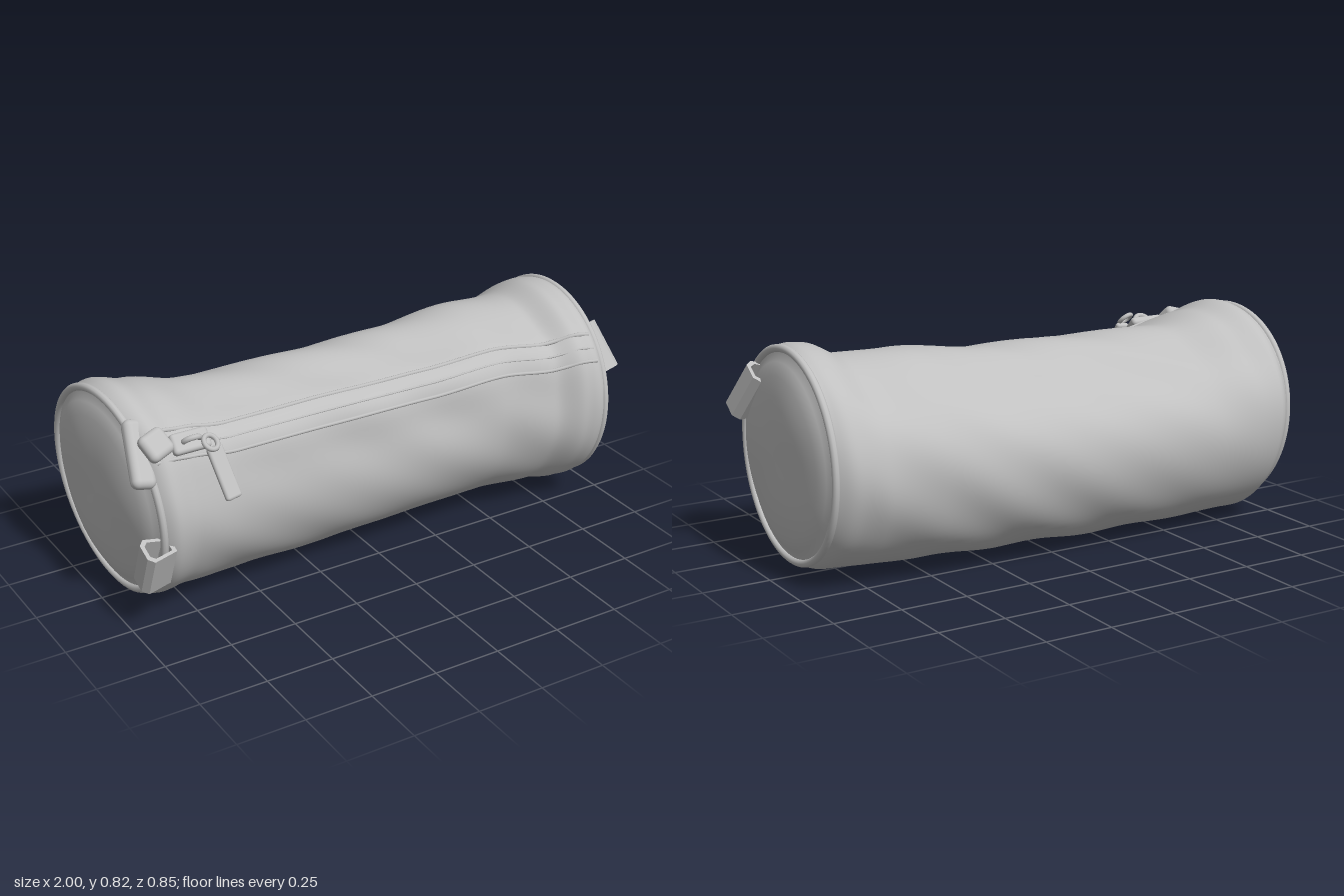
import * as THREE from 'three';
import { RoundedBoxGeometry } from 'three/addons/geometries/RoundedBoxGeometry.js';

const rad = THREE.MathUtils.degToRad;

// Body profile stations along x: top, bottom, front and back of the section
const STATIONS = [
  [-0.93, 0.805, 0.002, 0.34, -0.405],
  [-0.88, 0.808, 0.002, 0.345, -0.428],
  [-0.78, 0.782, 0.010, 0.325, -0.432],
  [-0.60, 0.742, 0.014, 0.312, -0.432],
  [-0.20, 0.742, 0.018, 0.305, -0.432],
  [0.20, 0.748, 0.030, 0.305, -0.420],
  [0.50, 0.780, 0.036, 0.318, -0.408],
  [0.71, 0.775, 0.036, 0.355, -0.392],
  [0.82, 0.818, 0.030, 0.400, -0.378],
  [0.90, 0.825, 0.025, 0.420, -0.362],
];

function section(x) {
  let i = 0;
  while (i < STATIONS.length - 2 && x > STATIONS[i + 1][0]) i++;
  const a = STATIONS[i], b = STATIONS[i + 1];
  const t = THREE.MathUtils.smoothstep(x, a[0], b[0]);
  const [top, bottom, front, back] = [1, 2, 3, 4].map((k) => a[k] + (b[k] - a[k]) * t);
  return { cy: (top + bottom) / 2, cz: (front + back) / 2, ry: (top - bottom) / 2, rz: (front - back) / 2 };
}

// Bell curve around an angle, both in degrees
function bell(a, center, width) {
  const b = a - rad(center);
  const d = Math.atan2(Math.sin(b), Math.cos(b)) / rad(width);
  return Math.exp(-d * d);
}

// The zip sinks towards the front at its left end
const zipAngle = (u) => 41.5 - 6 * u * u;

// Point on the cloth: u runs along x, a is the angle from front to top
function cloth(u, a, lift = 0) {
  const x = -0.93 + 1.83 * u;
  const s = section(x);
  const inner = Math.sqrt(Math.max(0, Math.sin(Math.PI * u)));
  // Raised zip, slack upper back, sagging underside
  const shape = 0.05 * bell(a, zipAngle(u), 15) - 0.055 * bell(a, 126, 30)
    + 0.016 * bell(a, -62, 25) + 0.018 * bell(a, -122, 25);
  const folds = 0.004 * Math.sin(5 * a + 9 * u) * Math.sin(17 * u + 2 * a) + 0.002 * Math.sin(9 * a + 31 * u);
  // Rounded hem at each mouth
  const hem = 0.022 * Math.pow(1 - Math.min(1, Math.min(u, 1 - u) / 0.03), 2);
  const r = inner * (shape + folds) - hem + lift;
  // The right mouth is tilted, its front and foot drawn inwards
  const tilt = Math.pow(1 - u, 4) * (0.035 * Math.cos(a) - 0.025 * Math.sin(a));
  return new THREE.Vector3(x + tilt, s.cy + (s.ry + r) * Math.sin(a), s.cz + (s.rz + r) * Math.cos(a));
}

// Smooth skin around the x axis, closed in the second direction
function skin(nu, nv, point) {
  const pos = [], index = [];
  for (let i = 0; i <= nu; i++) {
    for (let j = 0; j < nv; j++) {
      pos.push(...point(i / nu, (j / nv) * Math.PI * 2).toArray());
      if (i === nu) continue;
      const k = (j + 1) % nv;
      const a = i * nv + j, b = a + nv, c = i * nv + k, d = c + nv;
      index.push(a, b, c, b, d, c);
    }
  }
  const g = new THREE.BufferGeometry();
  g.setAttribute('position', new THREE.Float32BufferAttribute(pos, 3));
  g.setIndex(index);
  g.computeVertexNormals();
  return g;
}

// Slightly domed end panel, sunk just inside the piping
function endPanel(side) {
  const u = side > 0 ? 1 : 0;
  const x = side > 0 ? 0.9 : -0.93;
  const s = section(x);
  const center = new THREE.Vector3(x, s.cy, s.cz);
  return skin(16, 72, (t, a) => {
    const r = side > 0 ? 1 - t : t;
    const p = cloth(u, a).lerp(center, 1 - r);
    const dome = 0.058 * (1 - Math.pow(r, 3));
    const dent = 0.01 * Math.exp(-Math.pow((r - 0.92) / 0.04, 2));
    const crease = 0.024 * r * r * (1 - r) * Math.sin(3 * a + 1);
    p.x += side * (dome - dent + crease);
    return p;
  });
}

// Folded ribbon loop, hollow through its length
function ribbonLoop(length, reach) {
  const outline = (w, h, x0) => [[x0, -h * 0.6], [w * 0.6, -h], [w, -h * 0.6], [w, h * 0.6], [w * 0.6, h], [x0, h * 0.6]]
    .map(([x, y]) => new THREE.Vector2(x, y));
  const shape = new THREE.Shape(outline(reach, 0.052, -0.06));
  shape.holes.push(new THREE.Path(outline(reach - 0.014, 0.037, -0.045).reverse()));
  const g = new THREE.ExtrudeGeometry(shape, { depth: length, bevelEnabled: false });
  return g.translate(0, 0, -length / 2);
}

export function createModel() {
  const model = new THREE.Group();
  const fabric = new THREE.MeshStandardMaterial({ color: 0xc0c0c0 });
  fabric.name = 'greyFabric';

  function add(name, geometry, position = [0, 0, 0], rotation = [0, 0, 0], parent = model) {
    const mesh = new THREE.Mesh(geometry, fabric);
    mesh.name = name;
    mesh.position.set(...position);
    mesh.rotation.set(...rotation);
    parent.add(mesh);
  }

  // Cloth tube and its two ends
  add('body', skin(140, 96, (u, a) => cloth(u, a)));
  for (const side of [1, -1]) {
    const name = side > 0 ? 'left' : 'right';
    add(name + 'EndPanel', endPanel(side));
    const ring = [];
    for (let i = 0; i < 36; i++) ring.push(cloth(side > 0 ? 1 : 0, (i / 36) * Math.PI * 2, -0.002));
    add(name + 'Piping', new THREE.TubeGeometry(new THREE.CatmullRomCurve3(ring, true), 96, 0.014, 10, true));
  }

  // Zip: two soft welts with the closed teeth between them
  const zip = new THREE.Group();
  zip.name = 'zip';
  model.add(zip);
  const seams = [['lowerWelt', -7, 0.007], ['teeth', 0, 0.004], ['upperWelt', 8, 0.008]];
  for (const [name, offset, radius] of seams) {
    const path = [];
    for (let i = 0; i <= 30; i++) {
      const u = 0.015 + (0.97 * i) / 30;
      path.push(cloth(u, rad(zipAngle(u) + offset), -0.002));
    }
    add(name, new THREE.TubeGeometry(new THREE.CatmullRomCurve3(path), 90, radius, 8), [0, 0, 0], [0, 0, 0], zip);
  }

  // Slider with its bridge, link and hanging puller
  const slider = new THREE.Group();
  slider.name = 'slider';
  slider.position.copy(cloth(0.09, rad(41), 0.014));
  slider.rotation.x = rad(-42);
  model.add(slider);
  add('sliderBody', new RoundedBoxGeometry(0.14, 0.075, 0.035, 3, 0.014), [0, 0, 0], [0, 0, 0], slider);
  add('sliderBridge', new THREE.TorusGeometry(0.03, 0.01, 8, 16, Math.PI), [0, 0, 0.014], [Math.PI / 2, 0, 0], slider);
  add('pullerLink', new THREE.TorusGeometry(0.027, 0.009, 8, 20), [-0.715, 0.69, 0.33], [rad(-50), rad(15), 0]);
  add('puller', new RoundedBoxGeometry(0.06, 0.19, 0.024, 3, 0.011), [-0.69, 0.588, 0.37], [rad(-28), 0, rad(8)]);

  // Bunched zip ends turned over the corner
  add('zipEndFold', new RoundedBoxGeometry(0.09, 0.055, 0.24, 4, 0.025), [-0.925, 0.65, 0.215], [rad(49), rad(-10), rad(-12)]);
  add('zipEndTuck', new RoundedBoxGeometry(0.1, 0.05, 0.1, 4, 0.022), [-0.88, 0.69, 0.255], [rad(49), rad(20), 0]);

  // Ribbon loops, one at each end
  add('leftLoop', ribbonLoop(0.19, 0.062), [0.915, 0.61, 0.272], [rad(55), rad(12), 0]);
  add('rightLoop', ribbonLoop(0.17, 0.05), [-0.925, 0.262, 0.29], [rad(-68), Math.PI, 0]);

  return model;
}
